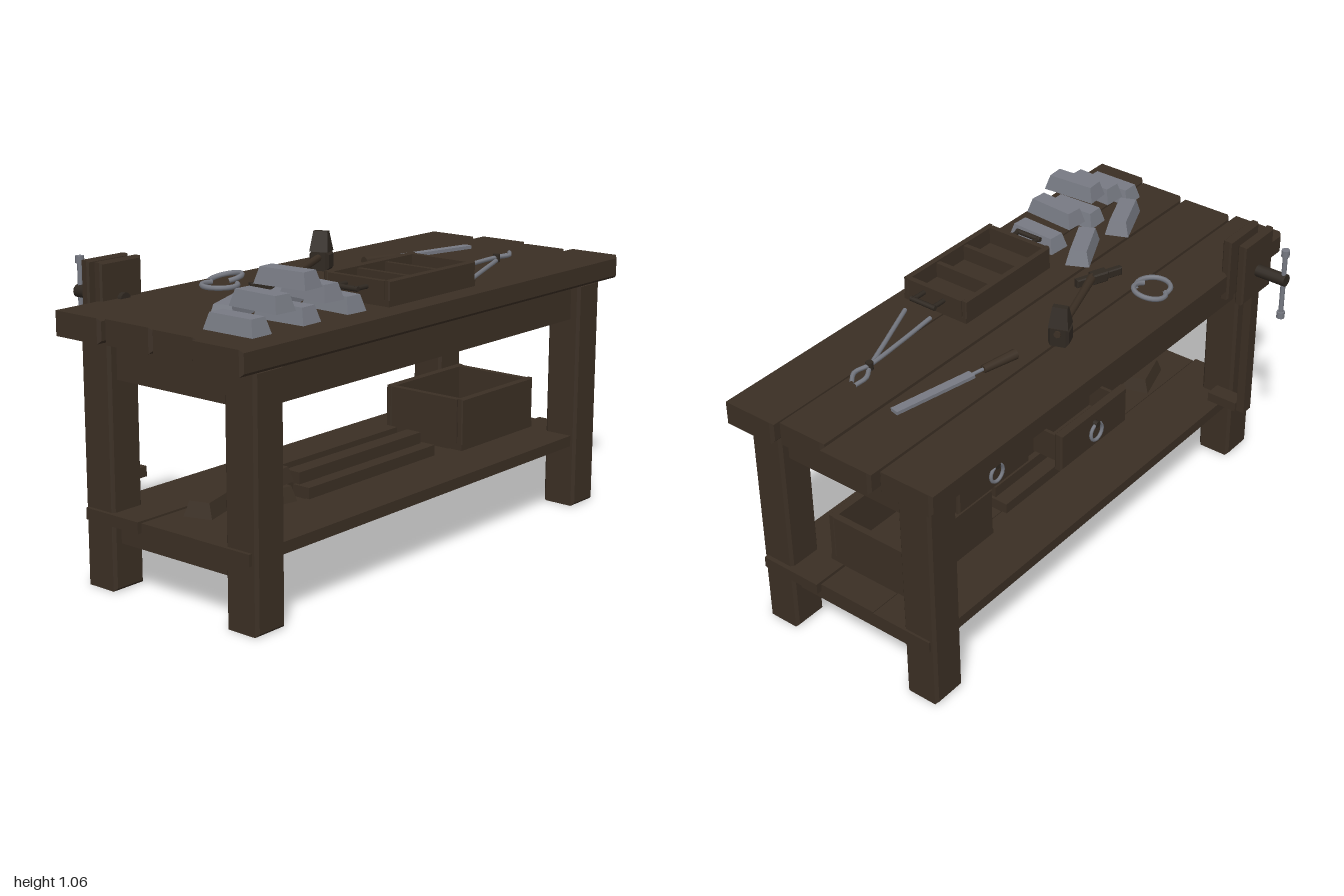
import * as THREE from 'three';

const mat = (name, color, extra = {}) => {
  const m = new THREE.MeshStandardMaterial({ color, ...extra });
  m.name = name;
  return m;
};

export function createModel() {
  const root = new THREE.Group();
  root.name = 'workbench';
  const wood = mat('dark wood', 0x3b2f24);
  const iron = mat('dark iron', 0x2f2821);
  const metal = mat('grey metal', 0x777a83);

  const add = (name, geo, material, parent = root) => {
    const m = new THREE.Mesh(geo, material);
    m.name = name;
    parent.add(m);
    return m;
  };
  const group = (name, x = 0, y = 0, z = 0, turn = 0) => {
    const g = new THREE.Group();
    g.name = name;
    g.position.set(x, y, z);
    g.rotation.y = turn;
    root.add(g);
    return g;
  };

  // Box given by its limits, with chamfered edges when b > 0
  const block = (name, x0, x1, y0, y1, z0, z1, material = wood, b = 0, parent = root) => {
    const w = x1 - x0, h = y1 - y0, d = z1 - z0;
    let geo;
    if (b > 0) {
      const u = w / 2 - b, v = h / 2 - b;
      const s = new THREE.Shape([[-u, -v], [u, -v], [u, v], [-u, v]].map(p => new THREE.Vector2(...p)));
      geo = new THREE.ExtrudeGeometry(s, { depth: d - 2 * b, bevelEnabled: true, bevelSize: b, bevelThickness: b, bevelSegments: 1 });
      geo.translate(0, 0, b - d / 2);
    } else geo = new THREE.BoxGeometry(w, h, d);
    const m = add(name, geo, material, parent);
    m.position.set((x0 + x1) / 2, (y0 + y1) / 2, (z0 + z1) / 2);
    return m;
  };

  // Round bar between two points
  const bar = (name, a, b, r0, r1, material, parent = root, sides = 8) => {
    const p = new THREE.Vector3(...a), q = new THREE.Vector3(...b);
    const m = add(name, new THREE.CylinderGeometry(r1, r0, p.distanceTo(q), sides), material, parent);
    m.position.copy(p).add(q).multiplyScalar(0.5);
    m.quaternion.setFromUnitVectors(new THREE.Vector3(0, 1, 0), q.sub(p).normalize());
    return m;
  };

  // Box whose top is inset along both axes
  const tapered = (w, h, d, inX, inZ) => {
    const geo = new THREE.BoxGeometry(w, h, d).toNonIndexed();
    const p = geo.attributes.position;
    for (let i = 0; i < p.count; i++) {
      if (p.getY(i) > 0) p.setXYZ(i, p.getX(i) * (1 - inX), h / 2, p.getZ(i) * (1 - inZ));
    }
    geo.computeVertexNormals();
    return geo;
  };

  // Table top planks
  for (const [x0, x1, z0, z1] of [[-1, 0.985, 0.3, 0.505], [-0.97, 0.965, 0.108, 0.293],
    [-0.96, 0.995, -0.108, 0.097], [-0.97, 0.965, -0.322, -0.117]])
    block('topPlank', x0, x1, 0.823, 0.905, z0, z1, wood, 0.01);

  // Legs
  for (const x of [-0.912, 0.785])
    for (const z of [0.346, -0.267]) block('leg', x, x + 0.129, 0, 0.823, z, z + 0.129, wood, 0.01);

  // Aprons and side stretchers
  block('frontApron', -0.79, 0.79, 0.693, 0.823, 0.39, 0.44);
  block('backApron', -0.79, 0.79, 0.693, 0.823, -0.25, -0.2);
  for (const x of [-0.85, 0.85]) {
    block('sideApron', x - 0.03, x + 0.03, 0.693, 0.823, -0.14, 0.346);
    block('sideStretcher', x - 0.03, x + 0.03, 0.157, 0.225, -0.14, 0.346);
  }

  // Lower shelf
  block('shelfBoard', -0.925, 0.93, 0.225, 0.264, 0.222, 0.456);
  block('shelfBoard', -0.915, 0.915, 0.225, 0.26, -0.01, 0.216);
  block('shelfBoard', -0.925, 0.922, 0.225, 0.264, -0.25, -0.016);

  // Open box: floor plus four walls
  const tray = (name, x0, x1, y0, y1, z0, z1, t) => {
    const g = group(name);
    block('floor', x0, x1, y0, y0 + t, z0, z1, wood, 0, g);
    for (const z of [z0, z1 - t]) block('longWall', x0, x1, y0, y1, z, z + t, wood, 0.004, g);
    for (const x of [x0, x1 - t]) block('endWall', x, x + t, y0, y1 - 0.003, z0 + t, z1 - t, wood, 0, g);
    return g;
  };

  // Drawers with ring pulls, one of them pulled out
  const drawer = (x0, x1, back) => {
    tray('drawerBody', x0 + 0.02, x1 - 0.02, 0.70, 0.80, back + 0.025, back + 0.36, 0.012);
    block('drawerFront', x0, x1, 0.685, 0.82, back, back + 0.03, wood, 0.006);
    const x = (x0 + x1) / 2;
    add('ringPull', new THREE.TorusGeometry(0.03, 0.006, 6, 16), metal).position.set(x, 0.745, back - 0.008);
    bar('ringBoss', [x, 0.775, back], [x, 0.775, back - 0.015], 0.012, 0.012, iron);
  };
  drawer(0.055, 0.405, -0.376);
  drawer(0.42, 0.77, -0.262);

  // Vise on the back edge
  block('viseJaw', -0.79, -0.61, 0.80, 1.03, -0.33, -0.297, wood, 0.006);
  block('viseJaw', -0.79, -0.61, 0.80, 1.03, -0.39, -0.357, wood, 0.006);
  block('viseLeg', -0.72, -0.675, 0.31, 0.82, -0.388, -0.357);
  block('viseFoot', -0.725, -0.665, 0.31, 0.345, -0.357, -0.24);
  bar('viseScrew', [-0.7, 0.902, -0.28], [-0.7, 0.902, -0.505], 0.022, 0.022, iron, root, 12);
  bar('viseHandle', [-0.7, 0.76, -0.493], [-0.7, 1.01, -0.493], 0.009, 0.009, metal);
  for (const y of [0.75, 0.995])
    bar('viseHandleKnob', [-0.7, y, -0.493], [-0.7, y + 0.024, -0.493], 0.015, 0.015, metal);

  // Ingots: a pyramid and two loose ones
  const ingot = (x, layer, z, turn) => {
    const m = add('ingot', tapered(0.085, 0.053, 0.2, 0.3, 0.15), metal);
    m.position.set(x, 0.932 + layer * 0.053, z);
    m.rotation.y = turn;
  };
  for (const [x, layer, turn] of [[-0.83, 0, 0], [-0.61, 0, 0.03], [-0.39, 0, -0.06],
    [-0.72, 1, -0.05], [-0.495, 1, -0.08], [-0.605, 2, 0.06]]) ingot(x, layer, 0.33, turn);
  ingot(-0.68, 0, 0.17, Math.PI / 2 + 0.4);
  ingot(-0.425, 0, 0.16, Math.PI / 2 + 0.45);

  // Divided tool tray with end handles
  const toolTray = tray('toolTray', -0.27, 0.185, 0.906, 0.99, 0.185, 0.455, 0.02);
  for (const x of [-0.125, 0.02])
    block('divider', x, x + 0.018, 0.92, 0.98, 0.2, 0.44, wood, 0, toolTray);
  for (const s of [-1, 1]) {
    const e = s < 0 ? -0.27 : 0.185;
    for (const z of [0.28, 0.365])
      bar('handleArm', [e, 0.962, z], [e + s * 0.06, 0.962, z], 0.008, 0.008, iron, toolTray);
    bar('handleGrip', [e + s * 0.055, 0.962, 0.27], [e + s * 0.055, 0.962, 0.375], 0.009, 0.009, iron, toolTray);
  }

  // Tongs: two crossing arms with bowed jaws
  const tongs = group('tongs');
  for (const [pts, y] of [
    [[[0.25, 0.395], [0.42, 0.325], [0.58, 0.258], [0.63, 0.228], [0.685, 0.228]], 0.914],
    [[[0.25, 0.285], [0.42, 0.268], [0.58, 0.258], [0.64, 0.268], [0.69, 0.235]], 0.924]]) {
    const path = new THREE.CatmullRomCurve3(pts.map(([x, z]) => new THREE.Vector3(x, y, z)));
    add('tongArm', new THREE.TubeGeometry(path, 24, 0.008, 6), metal, tongs);
  }
  bar('tongRivet', [0.58, 0.908, 0.258], [0.58, 0.936, 0.258], 0.013, 0.013, iron, tongs);

  // File: wooden grip and flat blade
  const file = group('file', 0.24, 0.918, -0.065, -0.2);
  bar('fileGrip', [0, 0, 0], [0.135, 0, 0], 0.018, 0.014, wood, file);
  bar('fileTang', [0.13, 0, 0], [0.19, 0, 0], 0.006, 0.006, metal, file);
  block('fileBlade', 0.18, 0.49, -0.006, 0.006, -0.016, 0.016, metal, 0, file);

  // Hammer standing on its face, handle lying across
  const hammer = group('hammer', 0.08, 0.906, -0.125, 0.36);
  block('hammerFace', -0.032, 0.032, 0, 0.065, -0.036, 0.036, iron, 0.01, hammer);
  add('hammerPeen', tapered(0.058, 0.07, 0.068, 0.65, 0.25), iron, hammer).position.y = 0.1;
  bar('hammerHandle', [0.04, 0.05, 0], [-0.38, 0.024, 0], 0.012, 0.016, wood, hammer);

  // Small cross-headed tool beside the handle
  const pick = group('crossTool', -0.3, 0.925, 0, -0.38);
  block('crossHead', -0.09, 0.09, -0.015, 0.015, -0.012, 0.012, iron, 0.004, pick);
  block('crossSocket', -0.03, 0.03, -0.018, 0.02, -0.02, 0.02, iron, 0.005, pick);

  // Two horseshoes, one leaning on the other
  for (const [x, y, z, r, start, tilt] of [[-0.375, 0.914, -0.175, 0.06, 1.2, 0], [-0.325, 0.928, -0.195, 0.056, -2.2, 0.2]]) {
    const g = group('horseshoe', x, y, z, start);
    const shoe = add('shoeArc', new THREE.TorusGeometry(r, 0.009, 6, 20, 4.6), metal, g);
    shoe.rotation.x = -Math.PI / 2 + tilt;
  }

  // Crate on the shelf
  tray('crate', 0.37, 0.8, 0.262, 0.45, -0.065, 0.275, 0.024);

  // Stacked bars on the shelf
  for (const [z, x0, x1] of [[0.2, -0.4, 0.265], [0.1, -0.42, 0.25], [0, -0.4, 0.26]])
    block('stockBar', x0, x1, 0.262, 0.302, z - 0.035, z + 0.035);
  for (const z of [0.155, 0.05]) block('stockBar', -0.39, 0.25, 0.302, 0.342, z - 0.03, z + 0.03);

  // Rough billets beside the bars
  for (const [x, y, z, turn] of [[-0.69, 0.288, 0.07, 0.3], [-0.51, 0.288, 0.15, -0.2], [-0.49, 0.338, 0.13, 0.1]]) {
    const m = add('billet', tapered(0.17, 0.05, 0.1, 0.15, 0.3), wood);
    m.position.set(x, y, z);
    m.rotation.y = turn;
  }
  return root;
}
